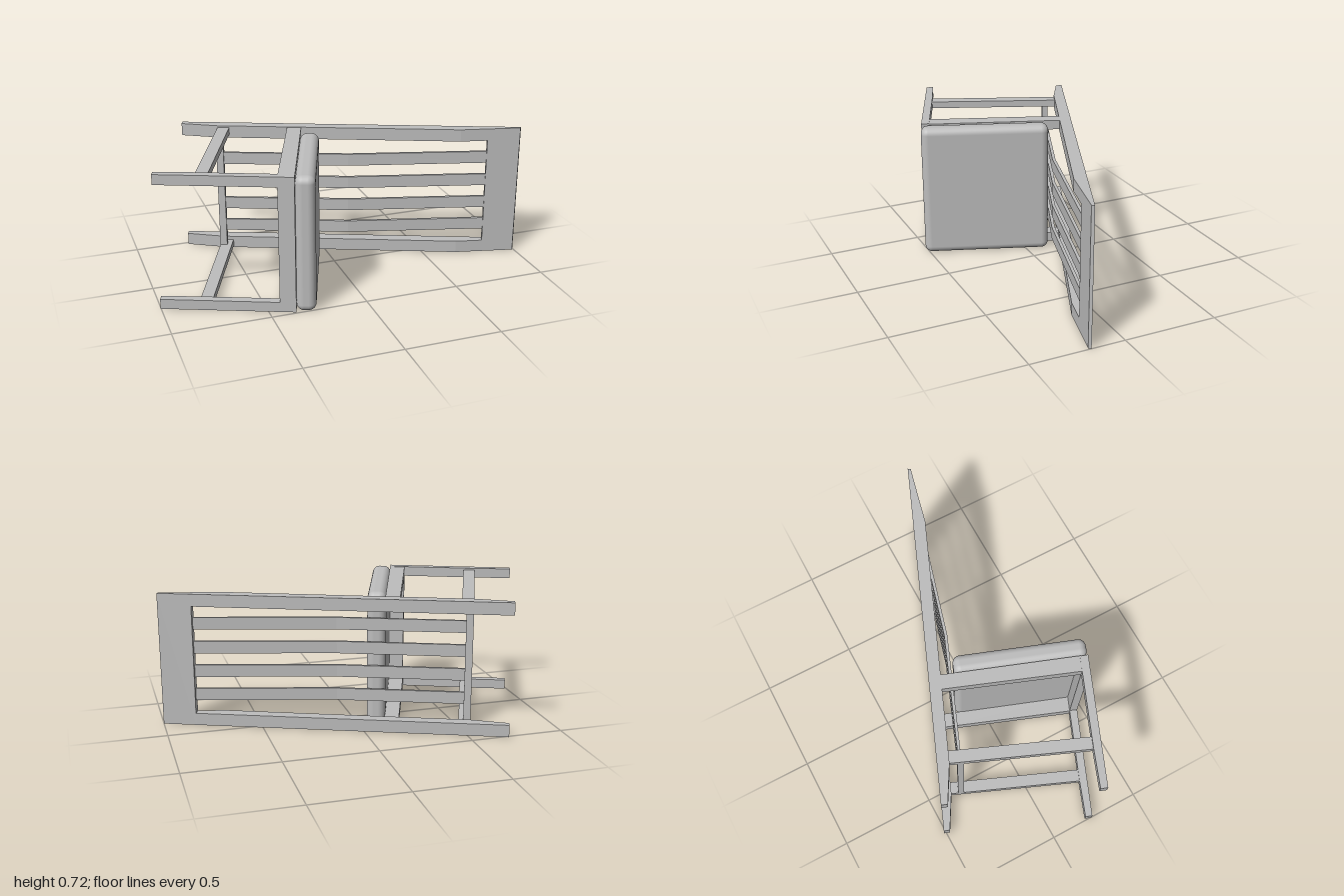
import * as THREE from 'three';
import { RoundedBoxGeometry } from 'three/addons/geometries/RoundedBoxGeometry.js';

const WIDTH = 0.72;

export function createModel() {
  const grey = new THREE.MeshStandardMaterial({ color: 0xbdbdbd });
  grey.name = 'plain grey';

  // Chair lying on its side: local x = chair up, local z = chair front, y = chair width
  const chair = new THREE.Group();
  chair.name = 'chair';
  chair.rotation.y = -0.391;

  // Side profile [up, front] extruded across the width from y0 to y1
  function slab(name, profile, y0, y1) {
    const shape = new THREE.Shape(profile.map(([a, b]) => new THREE.Vector2(a, b)));
    const geo = new THREE.ExtrudeGeometry(shape, { depth: y1 - y0, bevelEnabled: false });
    geo.rotateX(Math.PI / 2);
    geo.translate(0, y1, 0);
    const mesh = new THREE.Mesh(geo, grey);
    mesh.name = name;
    chair.add(mesh);
  }
  const rect = (a0, a1, b0, b1) => [[a0, b0], [a1, b0], [a1, b1], [a0, b1]];

  // The same part on both sides of the chair
  function pair(name, profile, inset, thickness) {
    slab(name + 'Left', profile, WIDTH - inset - thickness, WIDTH - inset);
    slab(name + 'Right', profile, inset, inset + thickness);
  }

  // Rear legs running up into the back posts, tapered at both ends
  pair('backPost', [
    [-0.842, -0.207], [0.815, -0.214], [0.815, -0.172],
    [0.67, -0.149], [-0.64, -0.147], [-0.84, -0.174],
  ], 0, 0.066);

  // Front legs
  pair('frontLeg', [[-0.84, 0.56], [-0.64, 0.555], [-0.16, 0.555], [-0.156, 0.597], [-0.838, 0.597]], 0, 0.053);

  // Sloping side rails under the seat and the front rail
  pair('seatSideRail', [[-0.263, -0.15], [-0.187, -0.15], [-0.157, 0.56], [-0.24, 0.56]], 0.002, 0.05);
  slab('seatFrontRail', rect(-0.238, -0.156, 0.555, 0.597), 0.053, WIDTH - 0.053);

  // Lower stretchers and the cross rail that holds the slats
  pair('stretcher', rect(-0.64, -0.577, -0.15, 0.557), 0.01, 0.037);
  slab('slatRail', rect(-0.64, -0.602, -0.109, -0.077), 0.04, WIDTH - 0.04);

  // Top board of the backrest
  slab('topBoard', [[0.815, -0.214], [0.994, -0.215], [0.99, -0.199], [0.815, -0.172]], 0, WIDTH);

  // Four bent slats
  for (let i = 0; i < 4; i++) {
    const y = 0.135 + i * 0.13;
    slab('backSlat' + (i + 1), [
      [-0.602, -0.1], [0.07, -0.108], [0.82, -0.196],
      [0.82, -0.18], [0.07, -0.092], [-0.602, -0.085],
    ], y, y + 0.065);
  }

  // Rounded cushion, tilted with the seat rails
  const cushion = new THREE.Mesh(new RoundedBoxGeometry(0.1, WIDTH, 0.68, 4, 0.038), grey);
  cushion.name = 'seatCushion';
  cushion.position.set(-0.121, WIDTH / 2, 0.258);
  cushion.rotation.y = 0.043;
  chair.add(cushion);

  const model = new THREE.Group();
  model.name = 'tippedChair';
  model.add(chair);
  return model;
}
